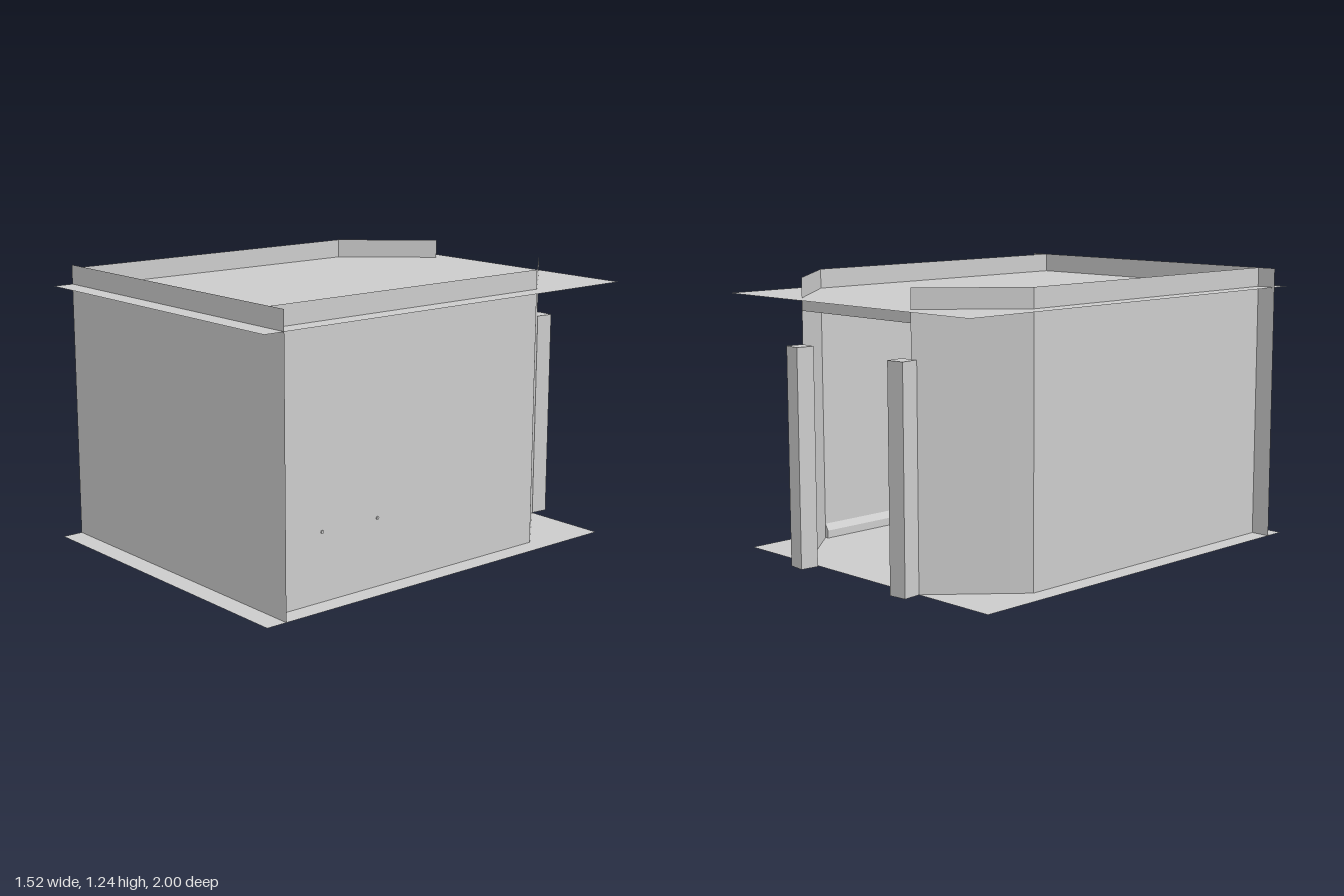
import * as THREE from 'three';

const HEIGHT = 1.24, CEILING = 1.154, HALF = 0.76, SIDE = 0.67;
const FRONT = 0.905, CORNER = -0.565, DOOR_X = 0.345, DOOR_Z = -0.925;

export function createModel() {
  const group = new THREE.Group();
  const material = new THREE.MeshStandardMaterial({
    color: 0xcccccc, side: THREE.DoubleSide, flatShading: true,
  });

  function add(name, geometry, x = 0, y = 0, z = 0) {
    const mesh = new THREE.Mesh(geometry, material);
    mesh.name = name;
    mesh.position.set(x, y, z);
    group.add(mesh);
    return mesh;
  }

  // Thin upright panel between two plan points (x, z)
  function wall(name, x1, z1, x2, z2, y1 = 0, y2 = HEIGHT) {
    const length = Math.hypot(x2 - x1, z2 - z1);
    const mesh = add(name, new THREE.PlaneGeometry(length, y2 - y1),
      (x1 + x2) / 2, (y1 + y2) / 2, (z1 + z2) / 2);
    mesh.rotation.y = -Math.atan2(z2 - z1, x2 - x1);
  }

  // Horizontal sheet spanning the full width
  function sheet(name, y, z1, z2) {
    const geometry = new THREE.PlaneGeometry(2 * HALF, z2 - z1);
    geometry.rotateX(-Math.PI / 2);
    add(name, geometry, 0, y, (z1 + z2) / 2);
  }

  sheet('floor', 0, -0.91, 1);
  sheet('ceiling', CEILING, -1, 1);
  wall('frontWall', -HALF, FRONT, HALF, FRONT);

  // Bevelled moulding profile: x = distance from wall, y = height
  const profile = new THREE.Shape([
    [0, 0], [0.018, 0], [0.018, 0.035], [0, 0.065],
  ].map(([x, y]) => new THREE.Vector2(x, y)));
  const depth = FRONT - CORNER;

  for (const s of [-1, 1]) {
    const side = s > 0 ? 'left' : 'right';
    wall(side + 'SideWall', s * SIDE, FRONT, s * SIDE, CORNER);
    wall(side + 'AngledWall', s * SIDE, CORNER, s * DOOR_X, DOOR_Z);

    // Door post, turned slightly outward
    const post = add(side + 'DoorPost', new THREE.BoxGeometry(0.082, 0.955, 0.082),
      s * 0.325, 0.4775, -0.955);
    post.rotation.y = -s * THREE.MathUtils.degToRad(6);

    // Mouldings at the foot and head of each side wall
    const strip = () => new THREE.ExtrudeGeometry(profile, { depth, bevelEnabled: false });
    const base = add(side + 'Baseboard', strip(), s * SIDE, 0, CORNER);
    base.scale.x = -s;
    const crown = add(side + 'CrownMoulding', strip(), s * SIDE, CEILING, CORNER);
    crown.scale.set(-s, -1, 1);
  }

  // Strip and rod above the doorway
  wall('doorLintel', -DOOR_X, DOOR_Z, DOOR_X, DOOR_Z, 1.1, CEILING);
  const rod = new THREE.CylinderGeometry(0.006, 0.006, 0.74, 8);
  rod.rotateZ(Math.PI / 2);
  add('curtainRod', rod, 0, 1.11, -0.89);

  // Wall rail held by two pegs passing through the wall
  add('wallRail', new THREE.BoxGeometry(0.02, 0.05, 0.46), 0.63, 0.297, 0.502);
  for (const z of [0.355, 0.65]) {
    const peg = new THREE.CylinderGeometry(0.007, 0.007, 0.05, 8);
    peg.rotateZ(Math.PI / 2);
    add('railPeg', peg, 0.65, 0.297, z);
  }

  return group;
}
